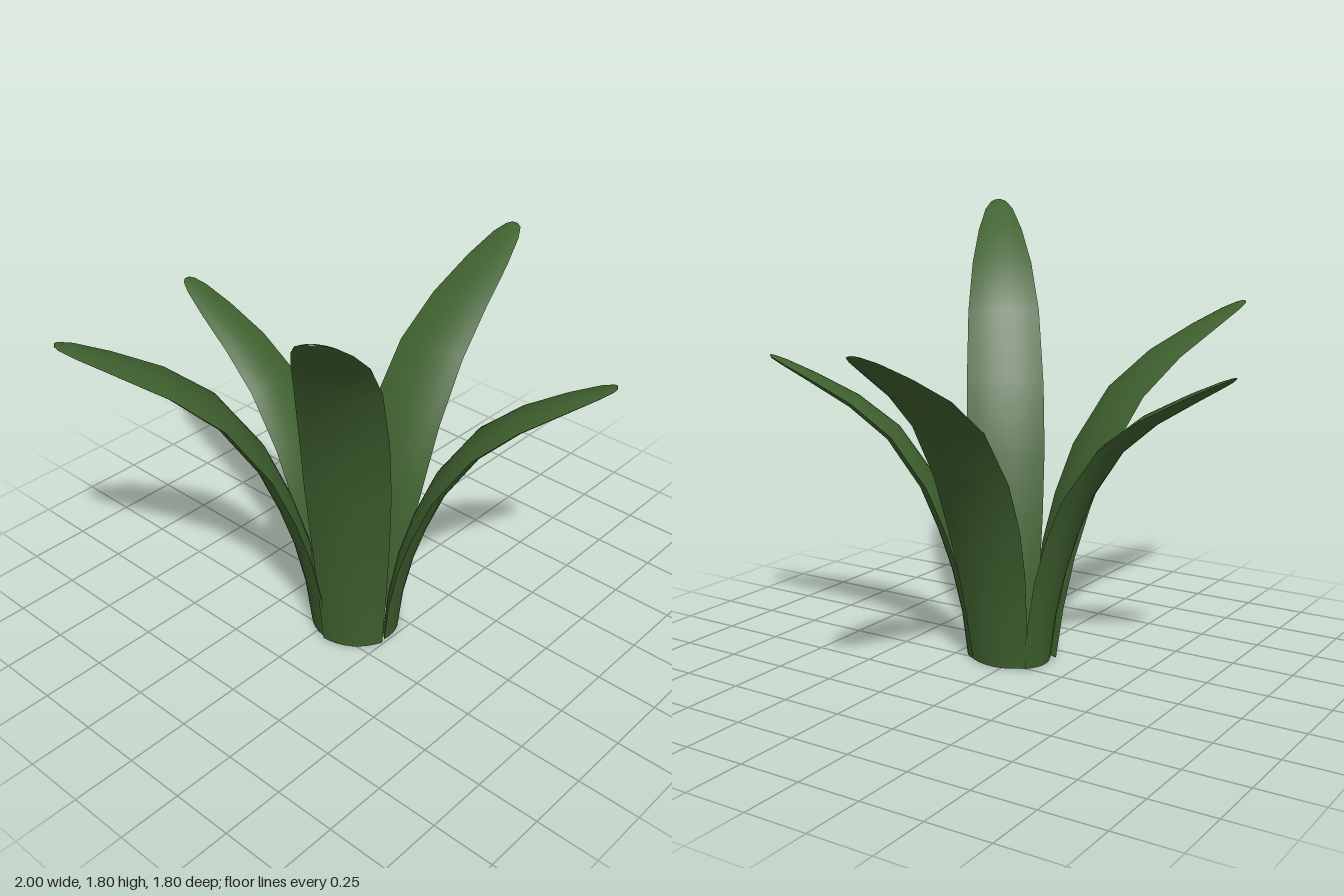
import * as THREE from 'three';

// Shared leaf profile: [outward fraction, height fraction, width fraction]
const PROFILE = [
  [0, 0, 0.74], [0.025, 0.15, 0.85], [0.07, 0.3, 0.94], [0.135, 0.44, 1],
  [0.225, 0.585, 1], [0.395, 0.75, 0.93], [0.59, 0.855, 0.79], [0.79, 0.93, 0.59],
  [0.93, 0.978, 0.38], [0.985, 0.995, 0.22], [1, 1, 0.1],
];
const ACROSS = 8; // segments across a leaf
const OUTER_BULGE = 0.042, INNER_BULGE = 0.024;

// Lens-shaped, bent leaf running from a base point (x, z) to a tip (x, y, z)
function leafGeometry([bx, bz], [tx, ty, tz], halfWidth) {
  const base = new THREE.Vector3(bx, 0.008, bz);
  const reach = Math.hypot(tx - bx, tz - bz);
  const out = new THREE.Vector3((tx - bx) / reach, 0, (tz - bz) / reach);
  const up = new THREE.Vector3(0, 1, 0);
  const side = new THREE.Vector3().crossVectors(up, out);
  const n = PROFILE.length;
  const positions = [], index = [];

  const point = (i, j, bulge) => {
    const [r, y, w] = PROFILE[i];
    const a = PROFILE[Math.max(i - 1, 0)], b = PROFILE[Math.min(i + 1, n - 1)];
    const dr = (b[0] - a[0]) * reach, dy = (b[1] - a[1]) * ty, len = Math.hypot(dr, dy);
    const u = (j / ACROSS) * 2 - 1;
    const lift = bulge * (1 - u * u) * w * (i ? 1 : 1.1);
    return base.clone()
      .addScaledVector(out, r * reach + (lift * dy) / len)
      .addScaledVector(up, y * (ty - 0.008) - (lift * dr) / len)
      .addScaledVector(side, u * w * halfWidth);
  };
  const addRow = (i, bulge) => {
    for (let j = 0; j <= ACROSS; j++) positions.push(...point(i, j, bulge).toArray());
  };
  const stitch = (rowA, rowB, flip) => {
    for (let j = 0; j < ACROSS; j++) {
      const a = rowA + j, b = a + 1, c = rowB + j, d = c + 1;
      if (flip) index.push(a, c, b, b, c, d);
      else index.push(a, b, c, b, d, c);
    }
  };

  // outer and inner faces keep their own vertices so the rim stays sharp
  for (const bulge of [OUTER_BULGE, -INNER_BULGE]) {
    const start = positions.length / 3;
    for (let i = 0; i < n; i++) addRow(i, bulge);
    for (let i = 0; i < n - 1; i++) {
      const row = start + i * (ACROSS + 1);
      stitch(row, row + ACROSS + 1, bulge < 0);
    }
  }
  // end caps at the base and the tip
  for (const i of [0, n - 1]) {
    const start = positions.length / 3;
    addRow(i, OUTER_BULGE);
    addRow(i, -INNER_BULGE);
    stitch(start, start + ACROSS + 1, i === 0);
  }

  const geometry = new THREE.BufferGeometry();
  geometry.setAttribute('position', new THREE.Float32BufferAttribute(positions, 3));
  geometry.setIndex(index);
  geometry.computeVertexNormals();
  return geometry;
}

export function createModel() {
  const leafGreen = new THREE.MeshStandardMaterial({ color: 0x3f612f });
  leafGreen.name = 'leafGreen';

  // name, base (x, z), tip (x, y, z), half width
  const leaves = [
    ['leftLeaf', [0.015, 0.03], [1.0, 1.36, -0.06], 0.16],
    ['frontLeaf', [-0.06, 0.19], [0.34, 1.22, 0.89], 0.135],
    ['tallFrontRightLeaf', [-0.235, 0.15], [-0.92, 1.8, 0.635], 0.16],
    ['backRightLeaf', [-0.23, -0.03], [-0.985, 1.4, -0.54], 0.16],
    ['backLeaf', [-0.085, -0.09], [-0.08, 1.22, -0.9], 0.13],
  ];

  const plant = new THREE.Group();
  plant.name = 'plant';
  for (const [name, base, tip, halfWidth] of leaves) {
    const leaf = new THREE.Mesh(leafGeometry(base, tip, halfWidth), leafGreen);
    leaf.name = name;
    plant.add(leaf);
  }
  return plant;
}
